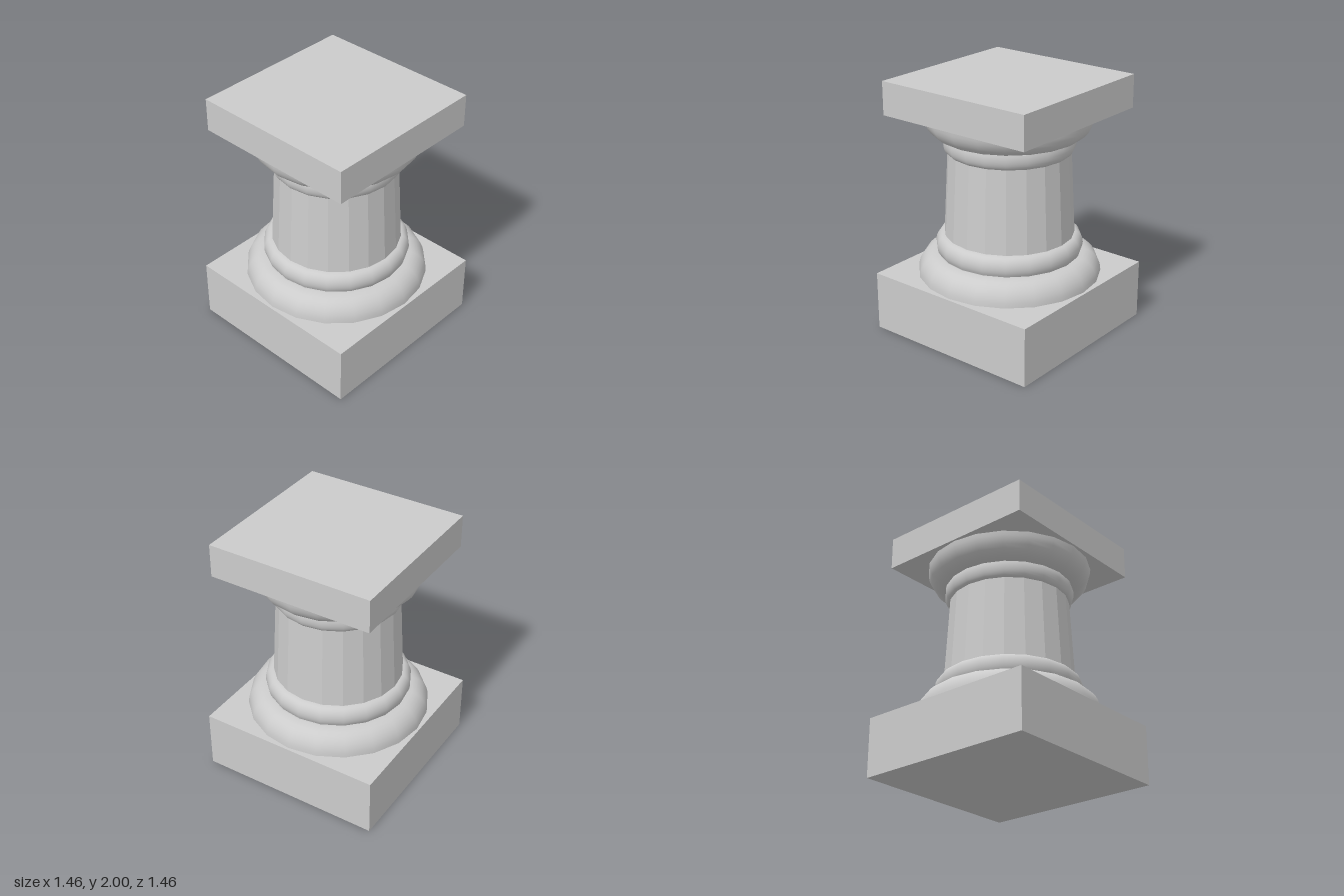
import * as THREE from 'three';
import { mergeGeometries } from 'three/addons/utils/BufferGeometryUtils.js';

const SIDES = 20;

export function createModel() {
  const group = new THREE.Group();
  const smooth = new THREE.MeshStandardMaterial({ color: 0xcccccc });
  const flat = new THREE.MeshStandardMaterial({ color: 0xcccccc, flatShading: true });

  function add(name, geometry, material, y = 0) {
    const mesh = new THREE.Mesh(geometry, material);
    mesh.name = name;
    mesh.position.y = y;
    group.add(mesh);
  }

  // Square block between two heights
  function slab(name, width, y0, y1) {
    add(name, new THREE.BoxGeometry(width, y1 - y0, width), flat, (y0 + y1) / 2);
  }

  // Rounded moulding: part of an ellipse turned about the axis, closed by flat discs
  function moulding(name, r, cy, rx, ry, a0, a1, steps) {
    const points = [];
    for (let i = 0; i <= steps; i++) {
      const a = a0 + ((a1 - a0) * i) / steps;
      points.push(new THREE.Vector2(r + rx * Math.cos(a), cy + ry * Math.sin(a)));
    }
    const [bottom, top] = [points[0], points[steps]];
    const geometry = mergeGeometries([
      new THREE.LatheGeometry(points, SIDES),
      new THREE.CircleGeometry(bottom.x, SIDES).rotateX(Math.PI / 2).translate(0, bottom.y, 0),
      new THREE.CircleGeometry(top.x, SIDES).rotateX(-Math.PI / 2).translate(0, top.y, 0),
    ]);
    add(name, geometry, smooth);
  }

  const q = Math.PI / 2;

  // Base
  slab('plinth', 1.46, 0, 0.465);
  moulding('lowerBaseMoulding', 0.56, 0.465, 0.15, 0.175, 0, q, 8);
  moulding('upperBaseMoulding', 0.5, 0.7, 0.068, 0.09, -0.73, q, 10);

  // Tapered faceted shaft
  add('shaft', new THREE.CylinderGeometry(0.468, 0.502, 0.66, SIDES), flat, 1.12);

  // Capital
  moulding('neckRing', 0.455, 1.525, 0.05, 0.085, -q, 0.49, 10);
  moulding('echinus', 0.49, 1.74, 0.152, 0.17, -q, 0, 8);
  slab('abacus', 1.315, 1.74, 2);

  return group;
}
